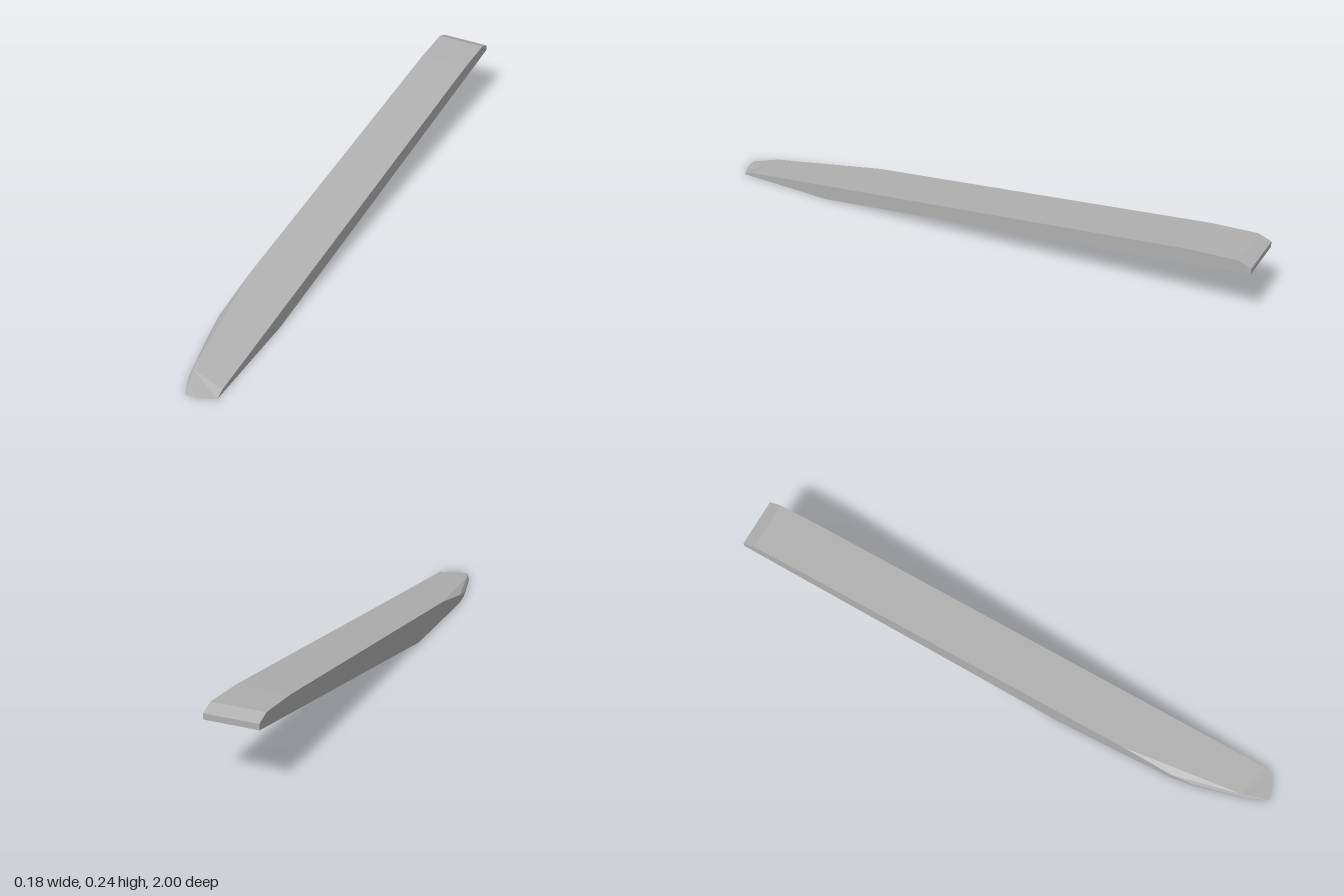
import * as THREE from 'three';

const W = 0.09; // half width

// Flat faces from convex outlines, each turned to face away from an inner point
function facetGeometry(outlines, inner) {
  const pos = [];
  for (const outline of outlines) {
    const p = outline.map((c) => new THREE.Vector3(...c));
    for (let i = 1; i < p.length - 1; i++) {
      const [a, b, c] = [p[0], p[i], p[i + 1]];
      const n = b.clone().sub(a).cross(c.clone().sub(a));
      const outward = n.dot(a.clone().sub(inner)) > 0;
      for (const v of outward ? [a, b, c] : [a, c, b]) pos.push(v.x, v.y, v.z);
    }
  }
  const g = new THREE.BufferGeometry();
  g.setAttribute('position', new THREE.Float32BufferAttribute(pos, 3));
  g.computeVertexNormals();
  return g;
}

export function createModel() {
  const group = new THREE.Group();
  group.name = 'wedge';
  const grey = new THREE.MeshStandardMaterial({ color: 0xb0b0b0 });
  grey.name = 'grey';

  // Rear profile, shared by both sides: bottom, back lip, crown, start of the slope
  const rear = (x) => [[x, 0.205, -1], [x, 0.225, -1], [x, 0.242, -0.955], [x, 0.232, -0.8]];
  const L = rear(W), R = rear(-W);

  // Underside corners where the flat sole meets the rising twisted belly
  const soleL = [W, 0, 0.6], soleR = [-W, 0, 0.24];

  // Tip and front left corner
  const tip = [-0.005, 0, 1], tipL = [0.03, 0, 0.997], frontL = [W, 0, 0.972];
  const brow = [W, 0.014, 0.94];

  // Rounded right front: foot of the wall, its upper edge, and the bevel above
  const foot = [[-W, 0, 0.67], [-0.08, 0, 0.75], [-0.037, 0, 0.93], tip];
  const edge = [[-W, 0.033, 0.67], [-0.08, 0.014, 0.75], [-0.037, 0.003, 0.93], tip];
  const bevelStart = [-W, 0.071, 0.48], bevelInner = [-0.035, 0.0177, 0.91];

  const wall = [], bevel = [[bevelStart, bevelInner, edge[0]]];
  for (let i = 0; i < 3; i++) {
    wall.push(i < 2 ? [foot[i], foot[i + 1], edge[i + 1], edge[i]] : [foot[i], tip, edge[i]]);
    bevel.push([edge[i], bevelInner, edge[i + 1]]);
  }

  const parts = {
    topSurface: [
      [bevelStart, bevelInner, brow, L[3], R[3]],
      [bevelInner, tip, tipL, frontL, brow],
      [L[3], R[3], R[2], L[2]],
      [L[2], R[2], R[1], L[1]],
    ],
    backFace: [[L[0], L[1], R[1], R[0]]],
    leftSide: [[soleL, frontL, brow, L[3], L[2], L[1], L[0]]],
    rightSide: [[soleR, foot[0], edge[0], bevelStart, R[3], R[2], R[1], R[0]]],
    roundedWall: wall,
    cornerBevel: bevel,
    flatSole: [[soleL, soleR, ...foot, tipL, frontL]],
    risingBelly: [[soleL, soleR, L[0]], [soleR, L[0], R[0]]],
  };

  const inner = new THREE.Vector3(0, 0.09, 0);
  for (const [name, outlines] of Object.entries(parts)) {
    const mesh = new THREE.Mesh(facetGeometry(outlines, inner), grey);
    mesh.name = name;
    group.add(mesh);
  }
  return group;
}
